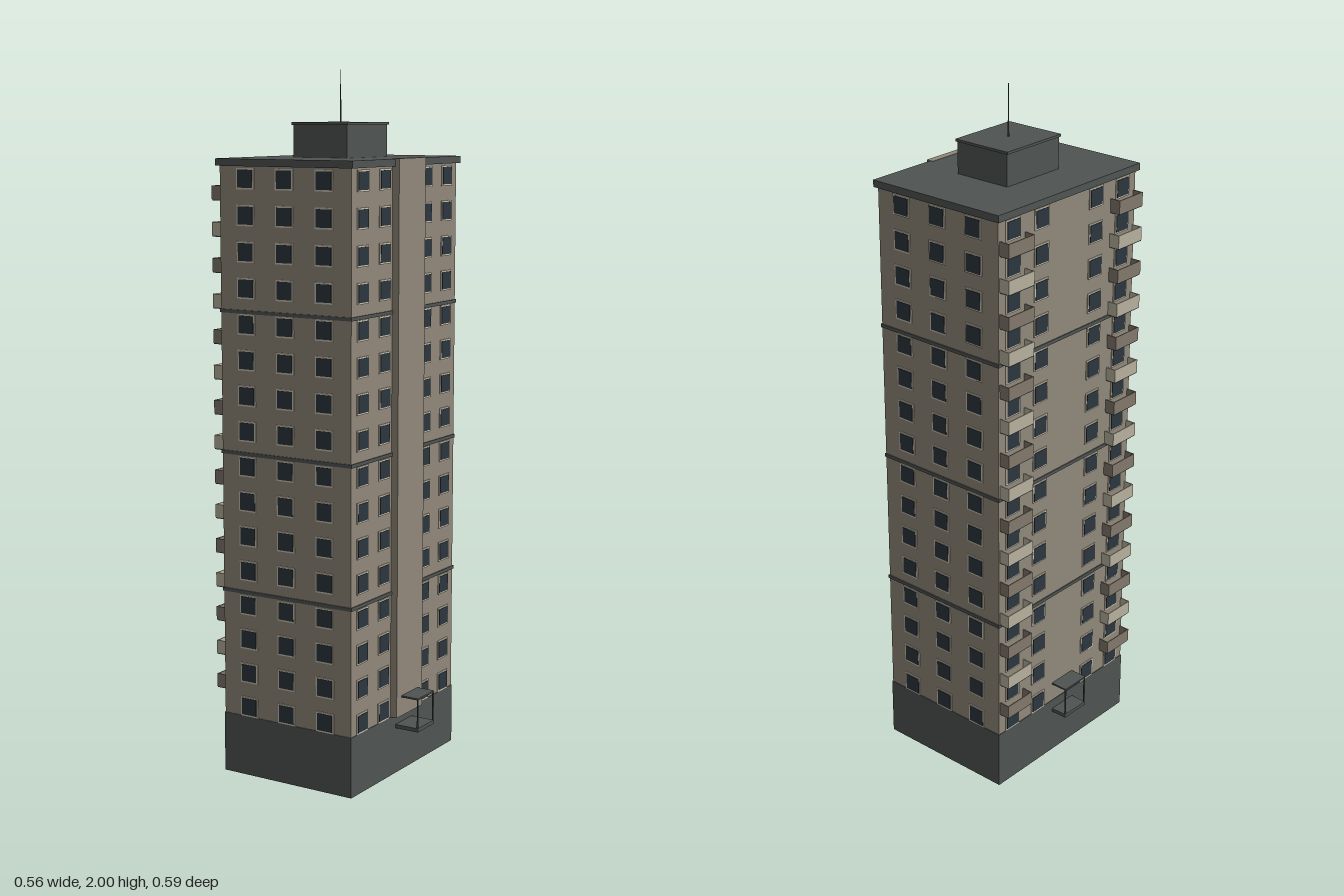
import * as THREE from 'three';
import { mergeGeometries } from 'three/addons/utils/BufferGeometryUtils.js';

const material = (name, color) => {
  const m = new THREE.MeshStandardMaterial({ color });
  m.name = name;
  return m;
};

// Box from its minimum and maximum corners
const span = (x0, x1, y0, y1, z0, z1) =>
  new THREE.BoxGeometry(x1 - x0, y1 - y0, z1 - z0)
    .translate((x0 + x1) / 2, (y0 + y1) / 2, (z0 + z1) / 2);

export function createModel() {
  const group = new THREE.Group();
  group.name = 'apartmentTower';

  const wall = material('beige wall', 0x91887a);
  const dark = material('dark grey concrete', 0x4f5452);
  const glass = material('window glass', 0x2c353f);
  const frame = material('pale window frame', 0xc9c2ae);
  const panelPale = material('pale balcony panel', 0xb8b19f);
  const panelBrown = material('brown balcony panel', 0x83786c);

  const add = (name, mat, ...geometries) => {
    const mesh = new THREE.Mesh(mergeGeometries(geometries), mat);
    mesh.name = name;
    group.add(mesh);
  };

  const X0 = -0.227, X1 = 0.2, Z = 0.284, CX = (X0 + X1) / 2;
  const FLOORS = 16, STEP = 0.1;

  // Main masses
  add('plinth', dark, span(X0 - 0.002, X1 + 0.002, 0, 0.175, -Z - 0.002, Z + 0.002));
  add('tower', wall, span(X0, X1, 0.175, 1.739, -Z, Z));
  add('stairShaft', wall, span(X1 - 0.001, 0.221, 0.175, 1.759, -0.072, 0.072));
  add('roofSlab', dark, span(-0.236, 0.209, 1.738, 1.758, -0.293, 0.293));
  add('roofHousing', dark,
    span(CX - 0.088, CX + 0.088, 1.758, 1.848, -0.106, 0.106),
    span(CX - 0.092, CX + 0.092, 1.848, 1.855, -0.11, 0.11));
  add('mast', dark,
    new THREE.CylinderGeometry(0.0018, 0.0022, 0.062, 8).translate(CX, 1.886, 0),
    new THREE.CylinderGeometry(0.001, 0.0014, 0.083, 8).translate(CX, 1.9585, 0));

  // Horizontal bands every four floors
  add('bands', dark, ...[0.541, 0.94, 1.339].map(y =>
    span(X0 - 0.003, X1 + 0.003, y - 0.005, y + 0.005, -Z - 0.003, Z + 0.003)));

  // Windows on all four sides
  const frames = [], panes = [];
  const addWindow = (x, y, z, turn) => {
    const place = (size, depth) => new THREE.BoxGeometry(size, size, depth)
      .rotateY(turn).translate(x, y, z);
    frames.push(place(0.058, 0.005));
    panes.push(place(0.049, 0.008));
  };
  for (let i = 0; i < FLOORS; i++) {
    const y = 0.204 + i * STEP;
    for (const side of [-1, 1]) {
      for (const dx of [-0.128, 0, 0.128]) addWindow(CX + dx, y, side * Z, 0);
      for (const z of [-0.227, -0.113, 0.113, 0.227])
        addWindow(side > 0 ? X1 : X0, y, z, Math.PI / 2);
    }
  }
  add('windowFrames', frame, ...frames);
  add('windowPanes', glass, ...panes);

  // Open-topped balconies: dark floor, three thin panels in alternating colours
  const floors = [], panels = [[], []];
  const outer = -0.259, t = 0.003;
  for (let i = 0; i < FLOORS - 1; i++) {
    const y = 0.245 + i * STEP;
    for (const side of [-1, 1]) {
      const z0 = side * 0.228 - 0.051, z1 = z0 + 0.102;
      floors.push(span(outer + 0.001, X0, y - 0.003, y + 0.004, z0 + 0.001, z1 - 0.001));
      panels[i % 2].push(
        span(outer, outer + t, y, y + 0.038, z0, z1),
        span(outer, X0, y, y + 0.038, z0, z0 + t),
        span(outer, X0, y, y + 0.038, z1 - t, z1));
    }
  }
  add('balconyFloors', dark, ...floors);
  add('balconyPanelsBrown', panelBrown, ...panels[0]);
  add('balconyPanelsPale', panelPale, ...panels[1]);

  // Entrance porches: landing, canopy and slim corner posts
  for (const [name, near, far] of [['leftPorch', X1, 0.276], ['rightPorch', X0, -0.279]]) {
    const a = Math.min(near, far), b = Math.max(near, far);
    const postX = far - Math.sign(far) * 0.002;
    add(name, dark,
      span(a, b, 0.135, 0.146, -0.046, 0.046),
      span(a, b, 0.23, 0.235, -0.046, 0.046),
      ...[-0.044, 0.044].map(z =>
        span(postX - 0.0018, postX + 0.0018, 0.146, 0.23, z - 0.0018, z + 0.0018)));
  }

  return group;
}
